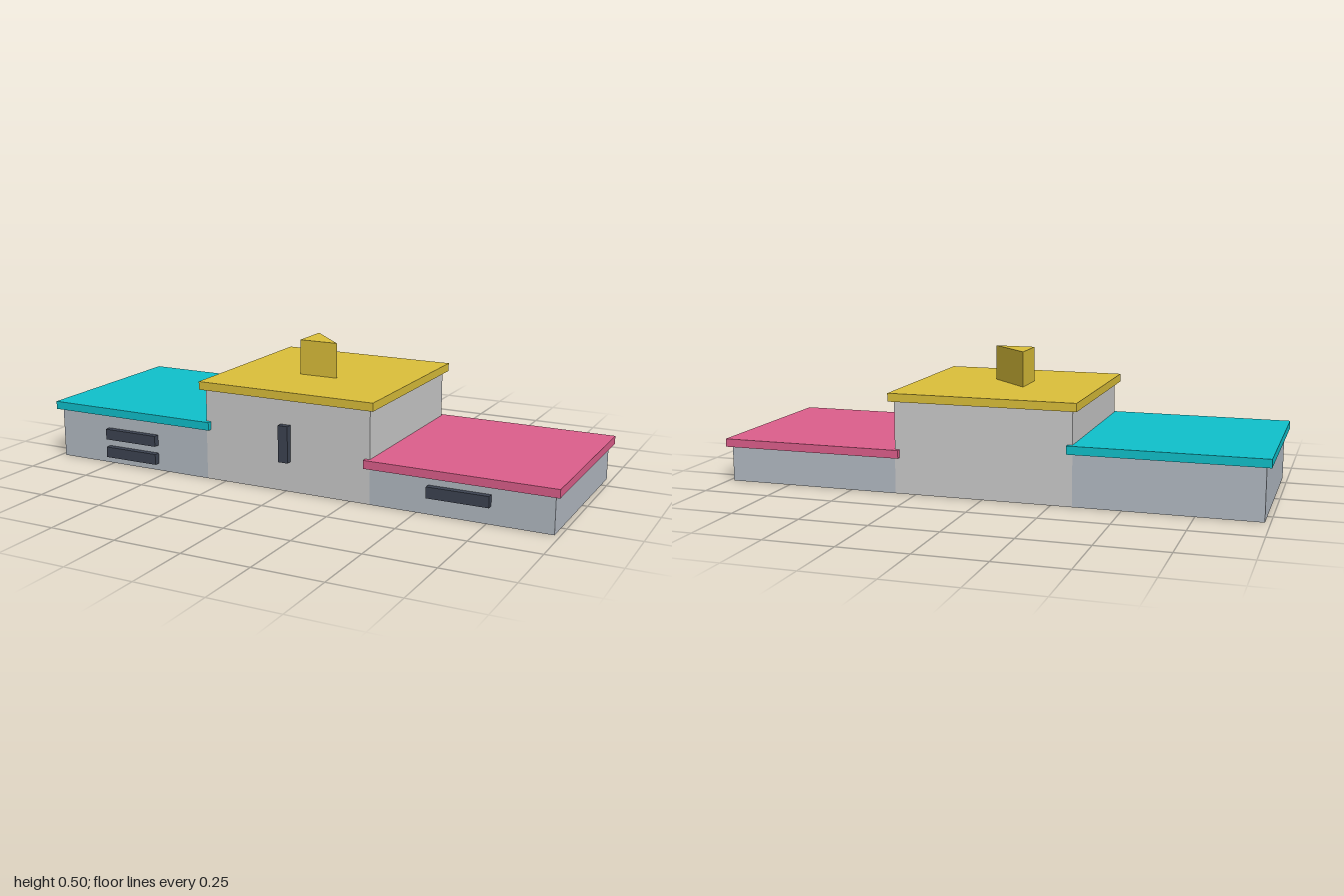
import * as THREE from 'three';

const WALL = 0.654;       // width and depth of each square block
const ROOF = 0.69;        // roof slabs overhang the walls
const ROOF_T = 0.03;
const ZC = -0.0025;       // the projecting windows shift the blocks back slightly

function createMesh(name, geometry, color) {
  const mesh = new THREE.Mesh(geometry, new THREE.MeshStandardMaterial({ color }));
  mesh.name = name;
  return mesh;
}

// Box standing with its underside at y
function slab(name, w, h, d, x, y, z, color) {
  const mesh = createMesh(name, new THREE.BoxGeometry(w, h, d), color);
  mesh.position.set(x, y + h / 2, z);
  return mesh;
}

export function createModel() {
  const model = new THREE.Group();
  model.name = 'building';

  // Openings are [centre height, width, height]
  const blocks = [
    { name: 'rightWing', x: -WALL, h: 0.188, wall: 0xb4bbc4, roof: 0x0fc1cc,
      openings: [[0.047, 0.222, 0.04], [0.117, 0.222, 0.04]] },
    { name: 'centralBlock', x: 0, h: 0.337, wall: 0xd8d9da, roof: 0xdcc03a,
      openings: [[0.178, 0.038, 0.134]] },
    { name: 'leftWing', x: WALL, h: 0.132, wall: 0xb4bbc4, roof: 0xde5f8c,
      openings: [[0.084, 0.222, 0.04]] },
  ];

  for (const b of blocks) {
    const block = new THREE.Group();
    block.name = b.name;
    block.position.set(b.x, 0, ZC);
    block.add(slab('walls', WALL, b.h, WALL, 0, 0, 0, b.wall));
    block.add(slab('roof', ROOF, ROOF_T, ROOF, 0, b.h, 0, b.roof));
    // Window panels stand proud of the front wall
    for (const [y, w, h] of b.openings) {
      block.add(slab('window', w, h, 0.046, 0, y - h / 2, WALL / 2, 0x3d4452));
    }
    model.add(block);
  }

  // Triangular prism on the central roof, right angle at the front right corner
  const r = 0.0745;
  const triangle = new THREE.Shape([
    new THREE.Vector2(-r, r), new THREE.Vector2(-r, -r), new THREE.Vector2(r, -r),
  ]);
  const prism = new THREE.ExtrudeGeometry(triangle, { depth: 0.129, bevelEnabled: false });
  prism.rotateX(-Math.PI / 2);
  const turret = createMesh('roofPrism', prism, 0xdcc03a);
  turret.position.set(0, 0.367, ZC);
  model.add(turret);

  return model;
}
